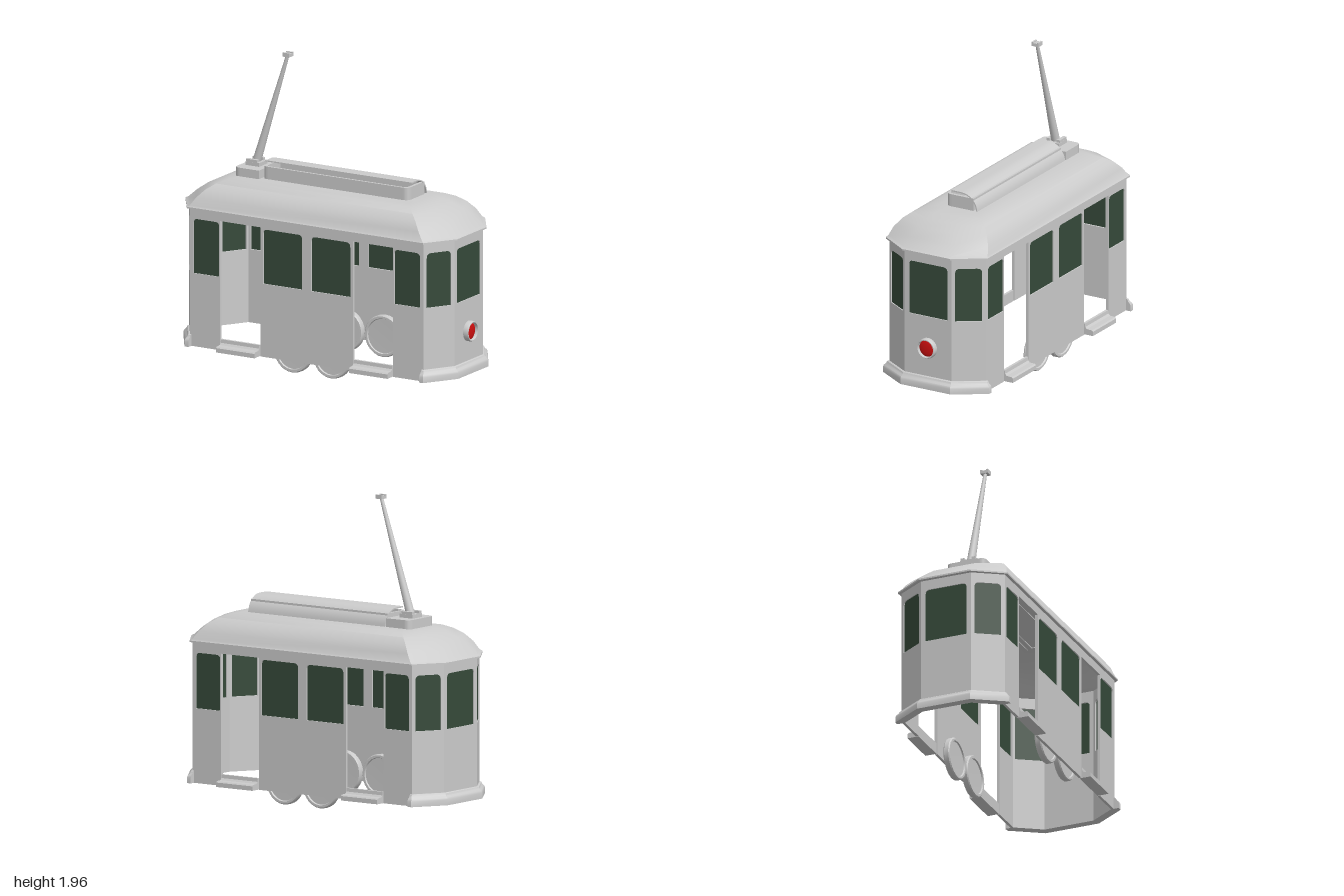
import * as THREE from 'three';
import { toCreasedNormals } from 'three/addons/utils/BufferGeometryUtils.js';

const paint = (color) => new THREE.MeshStandardMaterial({ color, side: THREE.DoubleSide });
const grey = paint(0xcccccc), glass = paint(0x364a3a), red = paint(0xd01010);

function add(parent, name, geometry, material = grey, x = 0, y = 0, z = 0) {
  const mesh = new THREE.Mesh(geometry, material);
  mesh.name = name;
  mesh.position.set(x, y, z);
  parent.add(mesh);
  return mesh;
}

// Skin over rows of [x, y, z] points; rows run upward, columns from +x towards +z
function loft(rows, closed) {
  const n = rows[0].length, index = [];
  for (let r = 0; r < rows.length - 1; r++) {
    for (let c = 0; c < (closed ? n : n - 1); c++) {
      const a = r * n + c, b = r * n + (c + 1) % n;
      index.push(a, a + n, b, b, a + n, b + n);
    }
  }
  const g = new THREE.BufferGeometry();
  g.setAttribute('position', new THREE.Float32BufferAttribute(rows.flat(2), 3));
  g.setIndex(index);
  return toCreasedNormals(g, 0.5);
}

const polygon = (pts) => new THREE.Shape(pts.map((p) => new THREE.Vector2(...p)));
const extrude = (shape, depth) =>
  new THREE.ExtrudeGeometry(shape, { depth, bevelEnabled: false, curveSegments: 8 });

// Rectangle with its corners rounded: rl/rr top left/right, bl/br bottom left/right
function rounded(x0, y0, x1, y1, rl, rr = rl, bl = 0, br = 0) {
  const s = new THREE.Shape();
  s.moveTo(x0 + bl, y0).lineTo(x1 - br, y0).quadraticCurveTo(x1, y0, x1, y0 + br);
  s.lineTo(x1, y1 - rr).quadraticCurveTo(x1, y1, x1 - rr, y1);
  s.lineTo(x0 + rl, y1).quadraticCurveTo(x0, y1, x0, y1 - rl);
  s.lineTo(x0, y0 + bl).quadraticCurveTo(x0, y0, x0 + bl, y0);
  return s;
}

// Wall panel with window holes and recessed panes, facing the direction of angle
function wall(parent, name, outline, windows, x, z, angle) {
  const g = new THREE.Group();
  g.name = name;
  g.position.set(x, 0, z);
  g.rotation.y = angle;
  const shape = polygon(outline);
  for (const [a, b] of windows) {
    const w = rounded(a, 0.55, b, 0.9, 0.03);
    shape.holes.push(w);
    add(g, 'windowPane', new THREE.ShapeGeometry(w, 8), glass, 0, 0, -0.007);
  }
  add(g, 'wallPanel', extrude(shape, 0.018), grey, 0, 0, -0.018);
  parent.add(g);
}

// Eight-sided ring: end at x = xe spans +-ze, sides at z = zs span +-xs
const octagon = (y, xe, ze, xs, zs) => [
  [xe, y, -ze], [xe, y, ze], [xs, y, zs], [-xs, y, zs],
  [-xe, y, ze], [-xe, y, -ze], [-xs, y, -zs], [xs, y, -zs],
];

export function createModel() {
  const model = new THREE.Group();
  model.name = 'tram';
  const bottom = 0.08, top = 0.97;

  // Long side walls with two doorways each
  const sideOutline = [
    [-0.85, bottom], [-0.63, bottom], [-0.63, 0.91], [-0.337, 0.91], [-0.337, bottom],
    [0.337, bottom], [0.337, 0.91], [0.63, 0.91], [0.63, bottom], [0.85, bottom],
    [0.85, top], [-0.85, top],
  ];
  const sideWindows = [[-0.825, -0.637], [-0.317, -0.033], [0.033, 0.317], [0.637, 0.825]];
  for (const s of [1, -1]) {
    wall(model, 'sideWall', sideOutline, sideWindows, 0, 0.35 * s, s > 0 ? 0 : Math.PI);
  }

  // End walls: one straight panel and two slanted ones
  const rect = (h) => [[-h, bottom], [h, bottom], [h, top], [-h, top]];
  const slant = Math.atan2(0.18, 0.115);
  for (const sx of [1, -1]) {
    wall(model, 'endWall', rect(0.17), [[-0.14, 0.14]], 0.965 * sx, 0, sx * Math.PI / 2);
    for (const sz of [1, -1]) {
      const angle = Math.atan2(sx * Math.sin(slant), sz * Math.cos(slant));
      wall(model, 'cornerWall', rect(0.1068), [[-0.084, 0.084]], 0.9075 * sx, 0.26 * sz, angle);
    }
  }

  // Roof with eaves, domed towards its flat top
  const roofRows = [
    octagon(0.965, 0.95, 0.165, 0.84, 0.335),
    octagon(0.965, 0.99, 0.175, 0.86, 0.37),
    octagon(0.975, 0.99, 0.175, 0.86, 0.37),
    octagon(0.985, 0.97, 0.17, 0.845, 0.36),
    octagon(1.035, 0.915, 0.155, 0.81, 0.343),
    octagon(1.085, 0.845, 0.135, 0.765, 0.305),
    octagon(1.12, 0.775, 0.115, 0.715, 0.26),
    octagon(1.142, 0.71, 0.095, 0.665, 0.21),
    octagon(1.15, 0.64, 0.08, 0.62, 0.15),
    octagon(1.15, 0, 0, 0, 0),
  ];
  add(model, 'roof', loft(roofRows, true));

  // Bumpers wrapped round both ends: corner x, z and outward mitre x, z
  const half = [[0.84, 0.35, 0, 0], [0.84, 0.35, 0, 1], [0.85, 0.35, 0.55, 1], [0.965, 0.17, 1, 0.29]];
  const path = [...half.map(([x, z, a, b]) => [x, -z, a, -b]), ...half.slice().reverse()];
  const profile = [
    [0, 0.08], [0.035, 0.08], [0.035, 0.115], [0.03, 0.128], [0.017, 0.14],
    [0.012, 0.152], [0.006, 0.156], [0, 0.156],
  ];
  for (const turn of [0, Math.PI]) {
    const rows = profile.map(([d, y]) => path.map(([x, z, a, b]) => [x + a * d, y, z + b * d]));
    add(model, 'bumper', loft(rows, false)).rotation.y = turn;
  }

  // Door steps
  const stepShape = polygon([
    [0.335, 0.08], [0.41, 0.08], [0.41, 0.108], [0.402, 0.116],
    [0.365, 0.118], [0.354, 0.13], [0.352, 0.152], [0.335, 0.152],
  ]);
  const stepGeometry = extrude(stepShape, 0.28).rotateY(-Math.PI / 2).translate(0.14, 0, 0);
  for (const x of [-0.484, 0.484]) {
    for (const turn of [0, Math.PI]) add(model, 'doorStep', stepGeometry, grey, x).rotation.y = turn;
  }

  // Wheels with raised rims
  const wheelProfile = [
    [0, -0.01], [0.11, -0.012], [0.114, -0.021], [0.128, -0.021], [0.134, -0.014],
    [0.134, 0.014], [0.128, 0.021], [0.114, 0.021], [0.11, 0.012], [0, 0.01],
  ].map((p) => new THREE.Vector2(...p));
  const wheel = toCreasedNormals(new THREE.LatheGeometry(wheelProfile, 24).rotateX(Math.PI / 2), 0.5);
  for (const x of [-0.12, 0.163]) {
    for (const z of [-0.309, 0.309]) add(model, 'wheel', wheel, grey, x, 0.134, z);
  }

  // Headlamp
  const lampProfile = [[0.053, 0], [0.065, 0], [0.065, 0.028], [0.062, 0.035], [0.056, 0.035], [0.053, 0.02]]
    .map((p) => new THREE.Vector2(...p));
  const rim = toCreasedNormals(new THREE.LatheGeometry(lampProfile, 32).rotateZ(-Math.PI / 2), 0.5);
  add(model, 'headlampRim', rim, grey, 0.965, 0.345, 0);
  const lens = new THREE.SphereGeometry(0.054, 32, 8, 0, Math.PI * 2, 0, Math.PI / 2);
  add(model, 'headlampLens', lens.scale(1, 0.2, 1).rotateZ(-Math.PI / 2), red, 0.978, 0.345, 0);

  // Roof vent: open tray with a curved hood over its back
  const tray = rounded(-0.475, -0.1, 0.585, 0.1, 0, 0, 0.04, 0.04);
  tray.holes.push(rounded(-0.455, -0.085, 0.565, 0.085, 0, 0, 0.03, 0.03));
  add(model, 'ventTray', extrude(tray, 0.085).rotateX(-Math.PI / 2), grey, 0, 1.145, 0);
  const hood = new THREE.Shape();
  hood.moveTo(0.06, 1.258).lineTo(-0.01, 1.258);
  hood.bezierCurveTo(-0.075, 1.258, -0.125, 1.21, -0.13, 1.145);
  hood.lineTo(-0.122, 1.145).bezierCurveTo(-0.117, 1.205, -0.07, 1.25, -0.01, 1.25);
  hood.lineTo(0.06, 1.25);
  const hoodGeometry = extrude(hood, 1.06).rotateY(-Math.PI / 2);
  add(model, 'ventHood', toCreasedNormals(hoodGeometry, 0.5), grey, 0.585, 0, 0);

  // Trolley pole on its stepped base
  const plate = rounded(-0.663, -0.13, -0.483, 0.13, 0.04, 0, 0.04, 0);
  add(model, 'poleBasePlate', extrude(plate, 0.06).rotateX(-Math.PI / 2), grey, 0, 1.145, 0);
  add(model, 'poleBlock', new THREE.BoxGeometry(0.1, 0.025, 0.1), grey, -0.58, 1.216, 0);
  for (const z of [-0.037, 0.037]) {
    add(model, 'poleBracket', new THREE.BoxGeometry(0.08, 0.02, 0.024), grey, -0.585, 1.235, z);
  }
  const from = new THREE.Vector3(-0.58, 1.215, 0), to = new THREE.Vector3(-0.352, 1.935, 0);
  const pole = add(model, 'trolleyPole', new THREE.CylinderGeometry(0.011, 0.028, from.distanceTo(to), 12));
  pole.position.copy(from).lerp(to, 0.5);
  pole.quaternion.setFromUnitVectors(new THREE.Vector3(0, 1, 0), to.clone().sub(from).normalize());
  add(model, 'poleHead', new THREE.BoxGeometry(0.048, 0.02, 0.03), grey, -0.349, 1.94, 0);
  for (const z of [-0.02, 0.02]) {
    add(model, 'poleHeadCheek', new THREE.BoxGeometry(0.048, 0.026, 0.012), grey, -0.349, 1.943, z);
  }
  return model;
}
